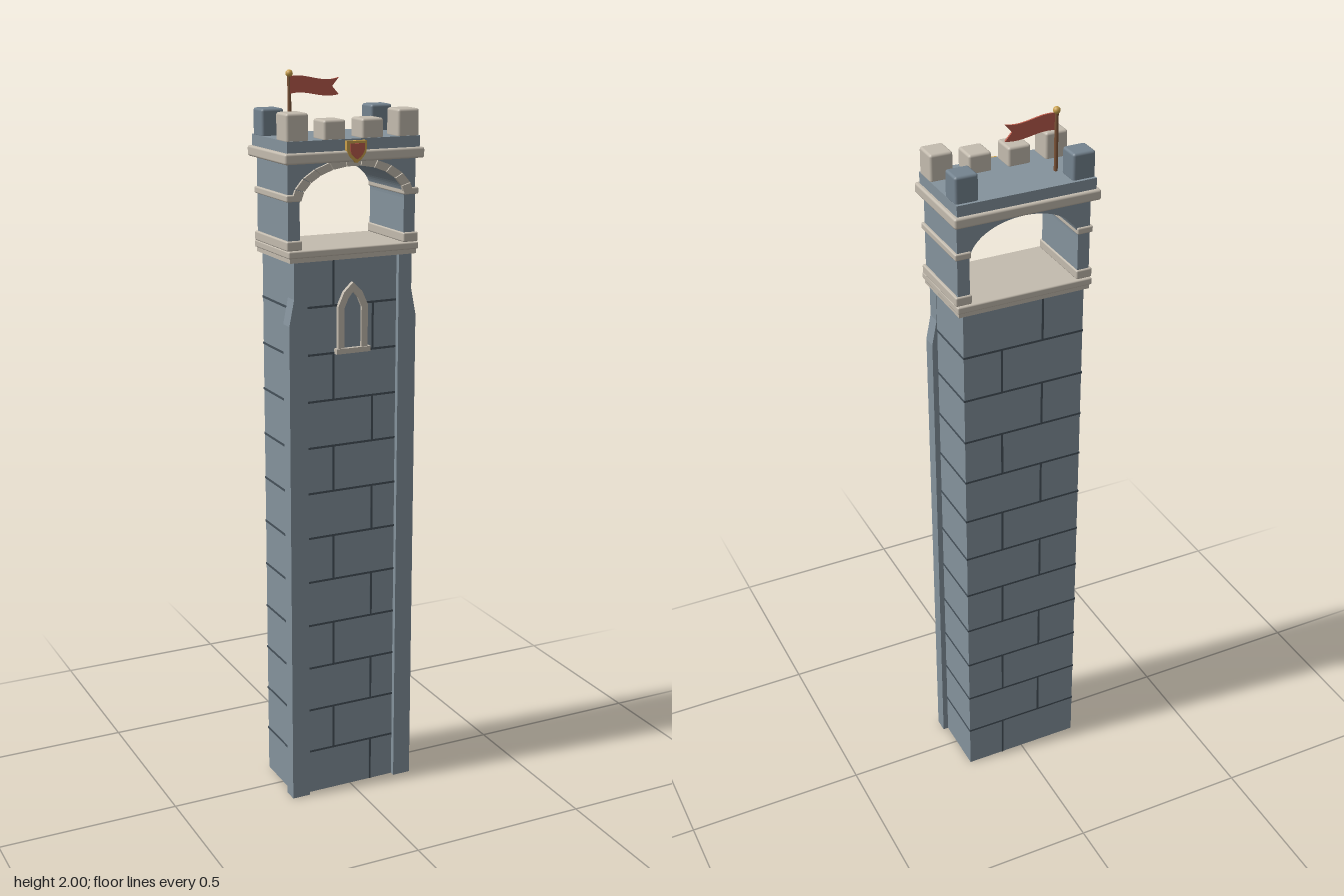
import * as THREE from 'three';
import { RoundedBoxGeometry } from 'three/addons/geometries/RoundedBoxGeometry.js';

const material = (name, color, side = THREE.FrontSide) => {
  const m = new THREE.MeshStandardMaterial({ color, side });
  m.name = name;
  return m;
};

export function createModel() {
  const wall = material('blue grey stone', 0x84929c);
  const darkWall = material('shaded blue stone', 0x74838f);
  const trim = material('pale limestone', 0xc3bbae);
  const mortar = material('dark mortar', 0x46515a);
  const red = material('faded red', 0xba5b4b);
  const gold = material('gold', 0xc9a04c);
  const wood = material('brown wood', 0x7d5438);

  const tower = new THREE.Group();
  tower.name = 'tower';

  const add = (name, geometry, mat, x = 0, y = 0, z = 0) => {
    const mesh = new THREE.Mesh(geometry, mat);
    mesh.name = name;
    mesh.position.set(x, y, z);
    tower.add(mesh);
    return mesh;
  };
  // Box given by its limits on each axis; r rounds the edges
  const block = (name, mat, [x0, x1], [y0, y1], [z0, z1], r = 0) => {
    const size = [x1 - x0, y1 - y0, z1 - z0];
    const geo = r ? new RoundedBoxGeometry(...size, 2, r) : new THREE.BoxGeometry(...size);
    return add(name, geo, mat, (x0 + x1) / 2, (y0 + y1) / 2, (z0 + z1) / 2);
  };
  const outline = (points) => new THREE.Shape(points.map(([x, y]) => new THREE.Vector2(x, y)));
  const slab = (name, shape, mat, z0, z1) =>
    add(name, new THREE.ExtrudeGeometry(shape, { depth: z1 - z0, bevelEnabled: false, curveSegments: 24 }), mat, 0, 0, z0);

  // Shaft
  const front = 0.09, back = -0.1, half = 0.17, top = 1.53;
  block('shaft', wall, [-half, half], [0, top], [back, front]);

  // Corner buttresses narrowing near the top
  for (const s of [-1, 1]) {
    const points = [[0.133, 0], [0.185, 0], [0.185, 1.36], [0.171, 1.43], [0.171, top], [0.133, top]];
    slab('buttress', outline(points.map(([x, y]) => [s * x, y])), wall, 0.065, 0.104);
  }

  // Mortar joints: level courses and alternating upright joints
  const course = 0.1275, j = 0.003, lift = 0.0015;
  for (let i = 0; i < 12; i++) {
    const y = i * course;
    const x = i % 2 ? -0.053 : 0.063;
    if (i > 0) {
      block('courseJoint', mortar, [-half - lift, half + lift], [y - j, y + j], [back - lift, 0.07]);
      block('frontCourseJoint', mortar, [-0.134, 0.134], [y - j, y + j], [0.08, front + lift]);
    }
    block('uprightJoint', mortar, [x - j, x + j], [y, y + course], [back - lift, front + lift]);
  }

  // Pointed blind window
  const inner = [[-0.025, 1.287], [0.025, 1.287], [0.025, 1.395], [0.014, 1.42], [0, 1.437], [-0.014, 1.42], [-0.025, 1.395]];
  const frame = outline([[-0.043, 1.28], [0.043, 1.28], [0.043, 1.4], [0.026, 1.437], [0, 1.462], [-0.026, 1.437], [-0.043, 1.4]]);
  frame.holes.push(new THREE.Path(inner.map(([x, y]) => new THREE.Vector2(x, y))));
  slab('windowFrame', frame, trim, front, 0.102);
  slab('windowPanel', outline(inner), wall, front, 0.094);
  block('windowSill', trim, [-0.05, 0.05], [1.273, 1.287], [front, 0.106]);

  // Belfry floor
  block('floorLedge', trim, [-0.183, 0.183], [1.525, 1.537], [-0.106, 0.106]);
  block('belfryFloor', trim, [-0.188, 0.188], [1.537, 1.556], [-0.111, 0.111], 0.004);

  // Belfry walls with an arched passage from front to back
  const spring = 1.672, rise = 0.092, span = 0.15, outer = 0.183;
  const arcade = new THREE.Shape();
  arcade.moveTo(outer, 1.553);
  arcade.lineTo(outer, 1.78);
  arcade.lineTo(-outer, 1.78);
  arcade.lineTo(-outer, 1.553);
  arcade.lineTo(-span, 1.553);
  arcade.lineTo(-span, spring);
  arcade.absellipse(0, spring, span, rise, Math.PI, 0, true);
  arcade.lineTo(span, 1.553);
  slab('belfryWalls', arcade, wall, -0.1, 0.096);

  // Wedge stones around the front arch
  const stones = 11;
  for (let i = 0; i < stones; i++) {
    const a0 = 0.1 + (i + 0.03) * (Math.PI - 0.2) / stones;
    const a1 = 0.1 + (i + 0.97) * (Math.PI - 0.2) / stones;
    const at = (a, g) => [(span + g) * Math.cos(a), spring + (rise + g * 0.75) * Math.sin(a)];
    slab('archStone', outline([at(a0, 0), at(a0, 0.026), at(a1, 0.026), at(a1, 0)]), trim, 0.094, 0.104);
  }

  // Mouldings around each belfry pier
  for (const s of [-1, 1]) {
    const x = s < 0 ? [-0.19, -0.146] : [0.146, 0.19];
    block('pierBase', trim, x, [1.556, 1.581], [-0.105, 0.104], 0.004);
    block('pierBand', trim, x, [1.681, 1.699], [-0.105, 0.104], 0.004);
  }

  // Cornice and roof deck
  block('cornice', trim, [-0.199, 0.199], [1.776, 1.804], [-0.127, 0.118], 0.006);
  block('roofDeck', wall, [-0.189, 0.189], [1.8, 1.833], [-0.117, 0.107]);

  // Battlements
  for (const s of [-1, 1]) {
    const corner = s < 0 ? [-0.189, -0.127] : [0.127, 0.189];
    const middle = s < 0 ? [-0.085, -0.023] : [0.023, 0.085];
    block('frontCornerMerlon', trim, corner, [1.828, 1.902], [0.037, 0.104], 0.007);
    block('frontMerlon', trim, middle, [1.828, 1.882], [0.037, 0.104], 0.007);
    block('backMerlon', darkWall, corner, [1.828, 1.902], [-0.109, -0.049], 0.007);
  }

  // Plain shield on the cornice
  const shield = (k) => {
    const s = new THREE.Shape();
    s.moveTo(-0.028 * k, 1.807 + 0.022 * k);
    s.lineTo(-0.028 * k, 1.807);
    s.quadraticCurveTo(-0.024 * k, 1.807 - 0.02 * k, 0, 1.807 - 0.034 * k);
    s.quadraticCurveTo(0.024 * k, 1.807 - 0.02 * k, 0.028 * k, 1.807);
    s.lineTo(0.028 * k, 1.807 + 0.022 * k);
    return s;
  };
  slab('shieldRim', shield(1), gold, 0.105, 0.121);
  slab('shieldFace', shield(0.72), red, 0.12, 0.125);

  // Flagpole, finial and swallow-tailed flag
  const px = -0.118, pz = -0.034;
  add('flagpole', new THREE.CylinderGeometry(0.005, 0.005, 0.16, 12), wood, px, 1.91, pz);
  add('finial', new THREE.SphereGeometry(0.0095, 16, 12), gold, px, 1.9905, pz);
  const flag = new THREE.Shape();
  flag.moveTo(px, 1.983);
  flag.bezierCurveTo(-0.07, 1.992, -0.03, 1.962, 0.021, 1.977);
  flag.lineTo(0.002, 1.955);
  flag.lineTo(0.021, 1.934);
  flag.bezierCurveTo(-0.03, 1.922, -0.07, 1.95, px, 1.939);
  slab('flag', flag, red, pz, pz + 0.005);

  return tower;
}
